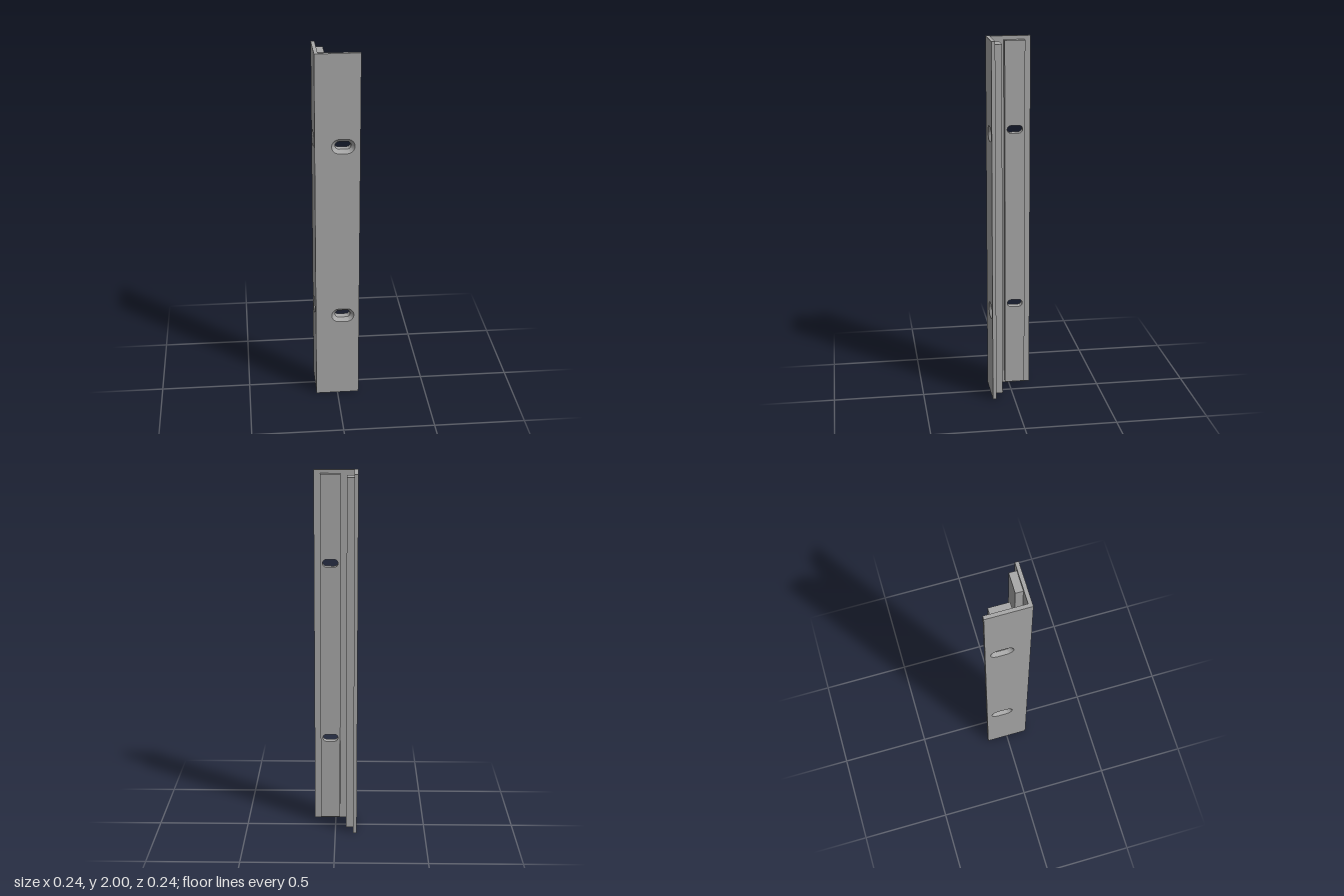
import * as THREE from 'three';
import { toCreasedNormals } from 'three/addons/utils/BufferGeometryUtils.js';

const HALF = 0.12, THICK = 0.02, HEIGHT = 2;
const PAD_W = 0.11, PAD_D = 0.04, PAD_GAP = 0.02;
const SLOT_Y = [0.5, 1.5], SLOT_HALF = 0.0215, R_OUTER = 0.04, R_INNER = 0.021;

// Upright rectangle from x0 to x1, y0 to y1
function rect(x0, x1, y0, y1) {
  return new THREE.Shape([
    new THREE.Vector2(x0, y0), new THREE.Vector2(x1, y0),
    new THREE.Vector2(x1, y1), new THREE.Vector2(x0, y1),
  ]);
}

// Horizontal slot with round ends
function addSlots(shape, cx, r) {
  for (const cy of SLOT_Y) {
    const slot = new THREE.Path();
    slot.absarc(cx + SLOT_HALF, cy, r, -Math.PI / 2, Math.PI / 2, false);
    slot.absarc(cx - SLOT_HALF, cy, r, Math.PI / 2, Math.PI * 1.5, false);
    slot.closePath();
    shape.holes.push(slot);
  }
}

function extrude(shape, depth) {
  return new THREE.ExtrudeGeometry(shape, { depth, bevelEnabled: false, curveSegments: 16 });
}

// Flat plate whose slots narrow towards the back and whose corner edge is mitred
function plateGeometry(cx, cornerSide) {
  const shape = rect(-HALF, HALF, 0, HEIGHT);
  addSlots(shape, cx, R_OUTER);
  const geo = extrude(shape, THICK);
  const p = geo.attributes.position;
  for (let i = 0; i < p.count; i++) {
    if (p.getZ(i) > THICK / 2) continue;
    const x = p.getX(i), y = p.getY(i);
    const cy = SLOT_Y.find((s) => Math.abs(y - s) < 0.06);
    if (cy !== undefined) {
      const ax = cx + THREE.MathUtils.clamp(x - cx, -SLOT_HALF, SLOT_HALF);
      const k = R_INNER / R_OUTER;
      p.setXY(i, ax + (x - ax) * k, cy + (y - cy) * k);
    } else if (x * cornerSide > HALF - 0.001) {
      p.setX(i, cornerSide * (HALF - THICK));
    }
  }
  return toCreasedNormals(geo, 0.5);
}

// Raised strip behind the plate, pierced by the narrow slots
function stripGeometry(cx) {
  const shape = rect(cx - PAD_W / 2, cx + PAD_W / 2, PAD_GAP, HEIGHT - PAD_GAP);
  addSlots(shape, cx, R_INNER);
  const geo = extrude(shape, PAD_D);
  geo.translate(0, 0, -PAD_D);
  return toCreasedNormals(geo, 0.5);
}

export function createModel() {
  const grey = new THREE.MeshStandardMaterial({ color: 0xa8a8a8 });
  grey.name = 'grey';
  const model = new THREE.Group();
  model.name = 'slottedAngleBar';

  const addLeg = (name, cx, cornerSide) => {
    const leg = new THREE.Group();
    leg.name = name;
    const plate = new THREE.Mesh(plateGeometry(cx, cornerSide), grey);
    plate.name = name + 'Plate';
    const strip = new THREE.Mesh(stripGeometry(cx), grey);
    strip.name = name + 'Strip';
    leg.add(plate, strip);
    model.add(leg);
    return leg;
  };

  // Front leg, with the corner at its -x edge
  addLeg('frontLeg', 0.03, -1).position.z = HALF - THICK;

  // Side leg, turned to face -x
  const side = addLeg('sideLeg', -0.03, 1);
  side.rotation.y = -Math.PI / 2;
  side.position.x = -(HALF - THICK);

  return model;
}
